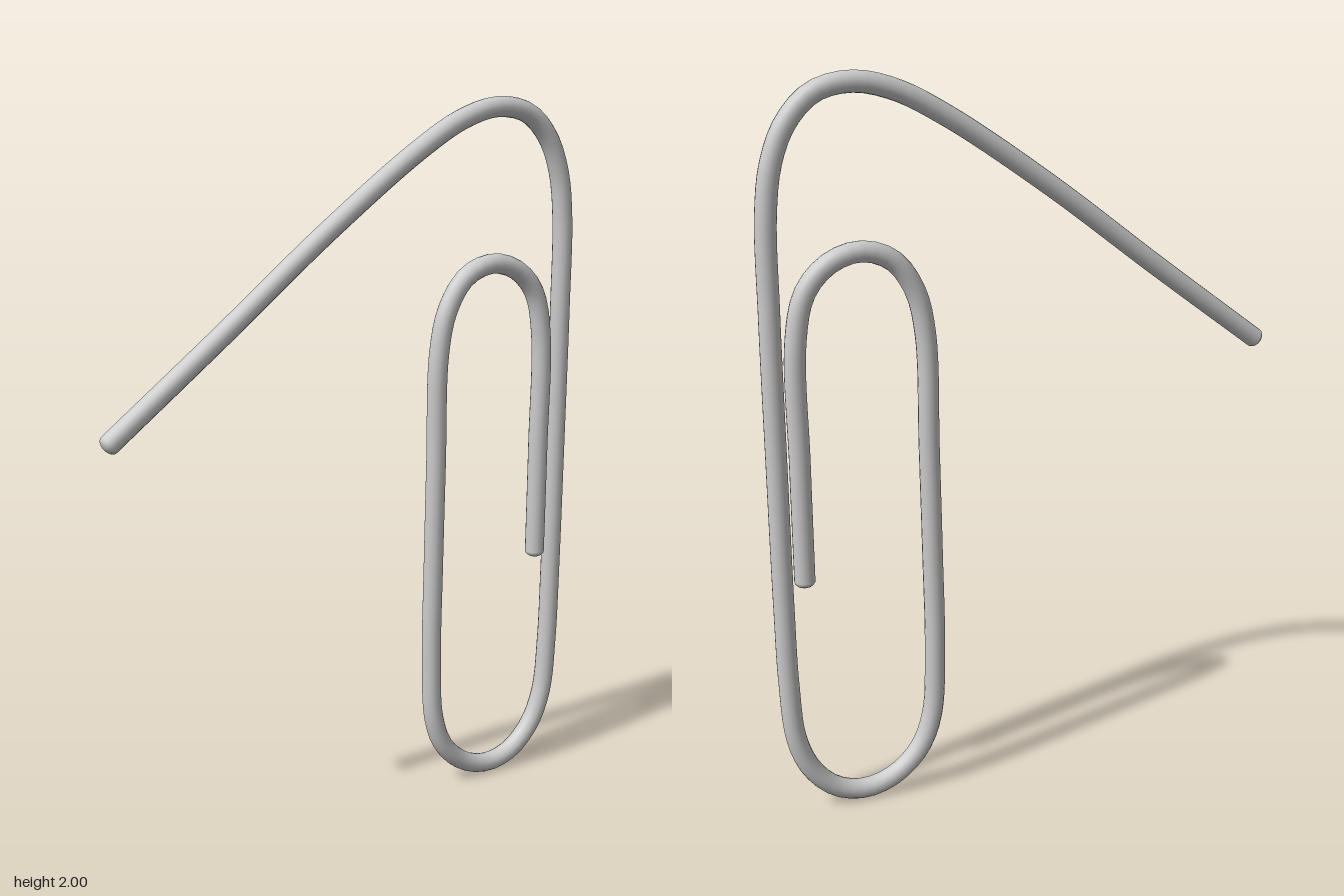
import * as THREE from 'three';

const RADIUS = 0.028;

// Centre line of the bent wire, from the open arm's tip to the inner end
const PATH = [
  [-0.706, 1.2], [-0.39, 1.436], [-0.07, 1.68], [0.21, 1.872], [0.352, 1.947],
  [0.463, 1.972], [0.563, 1.951], [0.634, 1.882], [0.675, 1.787], [0.694, 1.66],
  [0.697, 1.4], [0.696, 1.0], [0.694, 0.6], [0.69, 0.387], [0.675, 0.217],
  [0.634, 0.117], [0.565, 0.05], [0.482, 0.028], [0.396, 0.052], [0.322, 0.12],
  [0.284, 0.217], [0.272, 0.41], [0.274, 0.7], [0.278, 1.0], [0.283, 1.315],
  [0.31, 1.435], [0.368, 1.517], [0.452, 1.547], [0.537, 1.523], [0.602, 1.455],
  [0.632, 1.33], [0.634, 1.0], [0.634, 0.677],
];

export function createModel() {
  const group = new THREE.Group();
  group.name = 'paperClip';
  const material = new THREE.MeshStandardMaterial({ color: 0xcccccc });
  const curve = new THREE.CatmullRomCurve3(
    PATH.map(([x, y]) => new THREE.Vector3(x, y, 0)), false, 'centripetal');

  const wire = new THREE.Mesh(new THREE.TubeGeometry(curve, 200, RADIUS, 16), material);
  wire.name = 'wire';
  group.add(wire);

  // Slightly flattened domes close both ends
  const addCap = (name, t, sign) => {
    const dome = new THREE.SphereGeometry(RADIUS, 16, 6, 0, Math.PI * 2, 0, Math.PI / 2);
    dome.scale(1, 0.65, 1);
    const cap = new THREE.Mesh(dome, material);
    cap.name = name;
    cap.position.copy(curve.getPointAt(t));
    cap.quaternion.setFromUnitVectors(
      new THREE.Vector3(0, 1, 0), curve.getTangentAt(t).multiplyScalar(sign));
    group.add(cap);
  };
  addCap('openArmTip', 0, -1);
  addCap('innerLoopTip', 1, 1);

  return group;
}
